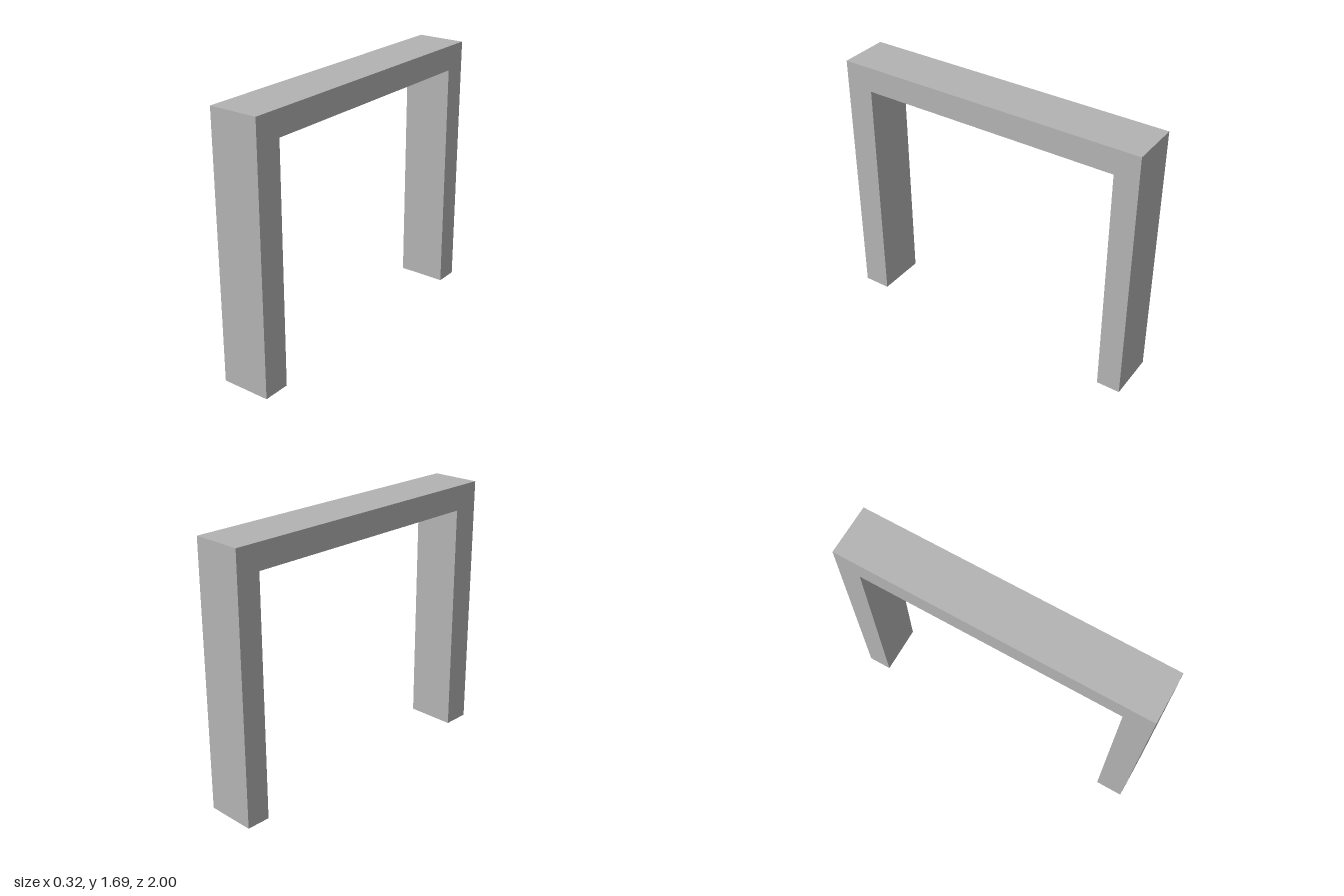
import * as THREE from 'three';

const WIDTH = 0.32;
const HEIGHT = 1.687;
const BEAM_BOTTOM = 1.527;
const FRONT_INNER = 0.823; // front leg is slightly thicker than the back one
const BACK_INNER = -0.847;

export function createModel() {
  const group = new THREE.Group();
  group.name = 'archFrame';

  const grey = new THREE.MeshStandardMaterial({ color: 0xb3b3b3 });
  grey.name = 'grey';

  // Two legs and top beam as one continuous profile, drawn in (z, y)
  const profile = new THREE.Shape([
    [-1, 0], [BACK_INNER, 0], [BACK_INNER, BEAM_BOTTOM], [FRONT_INNER, BEAM_BOTTOM],
    [FRONT_INNER, 0], [1, 0], [1, HEIGHT], [-1, HEIGHT],
  ].map(([z, y]) => new THREE.Vector2(z, y)));

  // Extrude across the width, then turn the profile to run along z
  const geometry = new THREE.ExtrudeGeometry(profile, { depth: WIDTH, bevelEnabled: false });
  geometry.translate(0, 0, -WIDTH / 2);
  geometry.rotateY(-Math.PI / 2);

  const frame = new THREE.Mesh(geometry, grey);
  frame.name = 'legsAndBeam';
  group.add(frame);
  return group;
}
